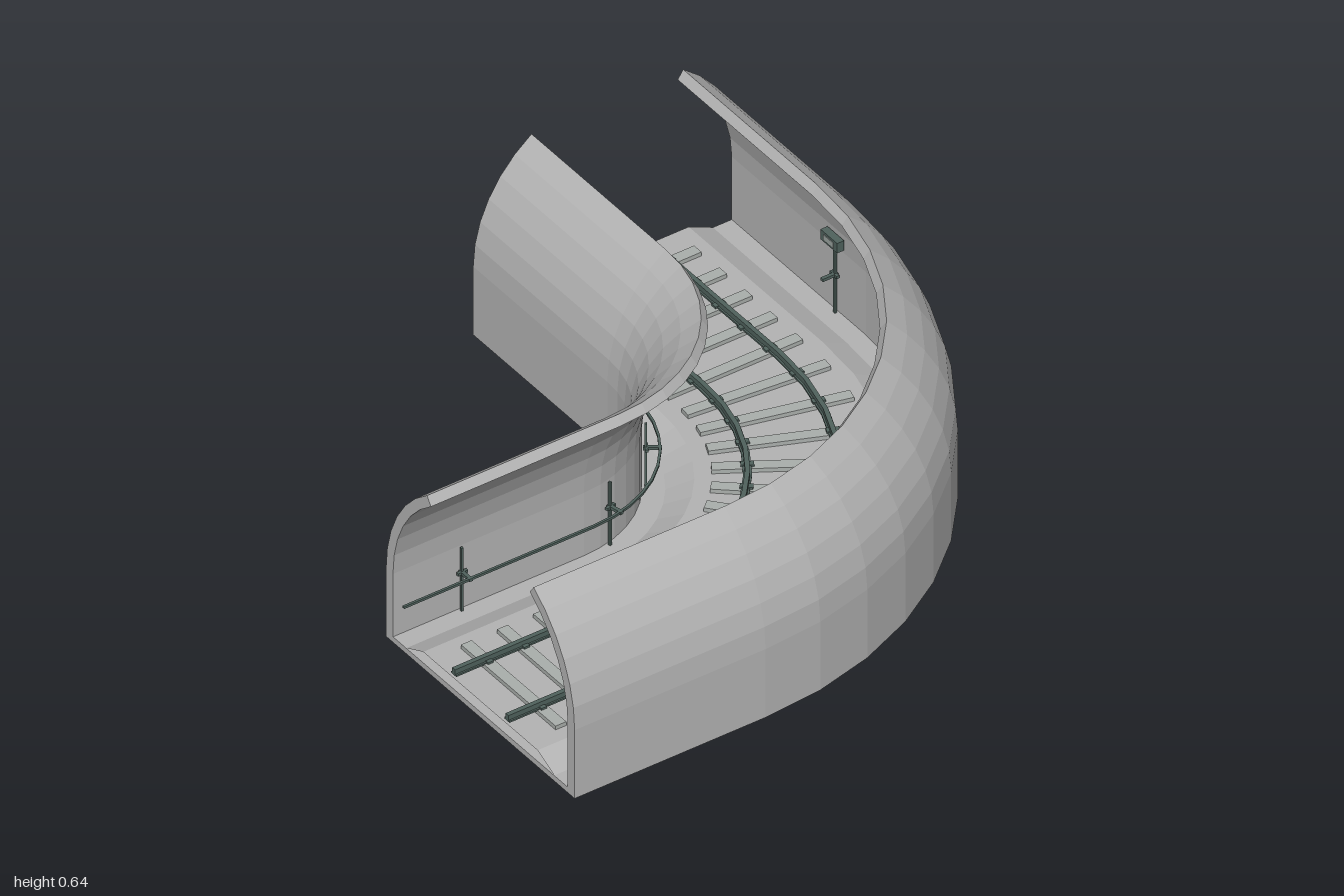
import * as THREE from 'three';

const mat = (name, color, side = THREE.FrontSide) =>
  Object.assign(new THREE.MeshStandardMaterial({ color, flatShading: true, side }), { name });

// Track path: straight, quarter bend, straight
const LEG = 0.68, R = 0.842, CX = -0.32, CZ = 0.32;
const ARC = R * Math.PI / 2, TOTAL = LEG * 2 + ARC;

function at(s) {
  const a = Math.min(Math.max((s - LEG) / R, 0), Math.PI / 2);
  const along = s < LEG ? s - LEG : Math.max(0, s - LEG - ARC);
  return {
    a,
    x: CX + R * Math.sin(a) + along * Math.cos(a),
    z: CZ - R * Math.cos(a) + along * Math.sin(a),
  };
}

function stations(bends) {
  const list = [0];
  for (let i = 0; i <= bends; i++) list.push(LEG + ARC * i / bends);
  return [...list, TOTAL];
}

// Sweep a counter-clockwise section [offset, height] along the path
function sweep(section, bends, closed = true) {
  const pos = [];
  const rings = stations(bends).map(s => {
    const f = at(s);
    return section.map(([t, y]) => [f.x + t * Math.sin(f.a), y, f.z - t * Math.cos(f.a)]);
  });
  const tri = (a, b, c) => pos.push(...a, ...b, ...c);
  const n = section.length;
  for (let i = 0; i < rings.length - 1; i++) {
    for (let j = 0; j < (closed ? n : n - 1); j++) {
      const k = (j + 1) % n, A = rings[i], B = rings[i + 1];
      tri(A[j], A[k], B[k]);
      tri(A[j], B[k], B[j]);
    }
  }
  if (closed) {
    const first = rings[0], last = rings[rings.length - 1];
    const faces = THREE.ShapeUtils.triangulateShape(section.map(p => new THREE.Vector2(...p)), []);
    for (const [a, b, c] of faces) {
      tri(last[a], last[b], last[c]);
      tri(first[c], first[b], first[a]);
    }
  }
  const g = new THREE.BufferGeometry();
  g.setAttribute('position', new THREE.Float32BufferAttribute(pos, 3));
  g.computeVertexNormals();
  return g;
}

// Vaulted wall and floor in one section, open along the crown
function shellSection() {
  const spring = 0.25, ro = 0.478, ri = 0.443, end = 0.97, steps = 6;
  const arc = r => Array.from({ length: steps + 1 }, (_, i) => {
    const a = end * i / steps;
    return [r * Math.cos(a), spring + r * Math.sin(a)];
  });
  const right = [[ro, 0], ...arc(ro), ...arc(ri).reverse(), [ri, 0.02]];
  const left = right.map(([t, y]) => [-t, y]).reverse();
  return [...right, ...left];
}

const rect = (t, y, w, h) =>
  [[t - w / 2, y], [t + w / 2, y], [t + w / 2, y + h], [t - w / 2, y + h]];

export function createModel() {
  const concrete = mat('concrete', 0xb4b4b4);
  const ballast = mat('ballast', 0xb4b4b4, THREE.DoubleSide);
  const sleeperMat = mat('sleeper grey', 0xaaafac);
  const steel = mat('dark steel', 0x50625d);
  const panel = mat('lamp panel', 0x9aa39f);

  const model = new THREE.Group();
  model.name = 'curvedTunnel';

  const add = (name, geometry, material, parent = model) => {
    const m = new THREE.Mesh(geometry, material);
    m.name = name;
    parent.add(m);
    return m;
  };
  // Group whose local x points outward and z runs along the track
  const station = (name, s) => {
    const f = at(s), g = new THREE.Group();
    g.name = name;
    g.position.set(f.x, 0, f.z);
    g.rotation.y = Math.PI / 2 - f.a;
    model.add(g);
    return g;
  };
  const box = (parent, name, material, size, x, y, z = 0) =>
    add(name, new THREE.BoxGeometry(...size), material, parent).position.set(x, y, z);

  add('tunnelShell', sweep(shellSection(), 10), concrete);
  add('trackBed', sweep([[0.375, 0.021], [0.29, 0.06], [-0.29, 0.06], [-0.375, 0.021]], 10, false), ballast);

  // Rails with a wide foot and a narrow head
  for (const t of [-0.135, 0.135]) {
    add('railFoot', sweep(rect(t, 0.072, 0.026, 0.006), 10), steel);
    add('railHead', sweep(rect(t, 0.078, 0.015, 0.017), 10), steel);
  }

  // Sleepers and rail clips
  for (let i = 0; i < 20; i++) {
    const g = station('sleeperSet', 0.117 + i * 0.1288);
    box(g, 'sleeper', sleeperMat, [0.48, 0.016, 0.038], 0, 0.066);
    for (const t of [-0.135, 0.135]) box(g, 'railClip', steel, [0.04, 0.008, 0.02], t, 0.077);
  }

  // Wall posts: lamps on the outer wall, cable brackets on the inner wall
  for (let i = 0; i < 4; i++) {
    const g = station('wallFittings', 0.54 + i * 0.635);
    for (const side of [-1, 1]) {
      box(g, 'post', steel, [0.008, 0.23, 0.008], side * 0.432, 0.135);
      box(g, 'bracket', steel, [0.055, 0.01, 0.012], side * 0.412, 0.16);
      box(g, 'crossPiece', steel, [0.01, 0.01, 0.035], side * 0.43, 0.16);
    }
    box(g, 'lampBox', steel, [0.025, 0.036, 0.085], 0.422, 0.29);
    box(g, 'lampPanel', panel, [0.004, 0.02, 0.05], 0.409, 0.29);
  }

  // Cable along the inner wall
  add('cable', sweep(rect(-0.39, 0.157, 0.008, 0.008), 10), steel);

  return model;
}
